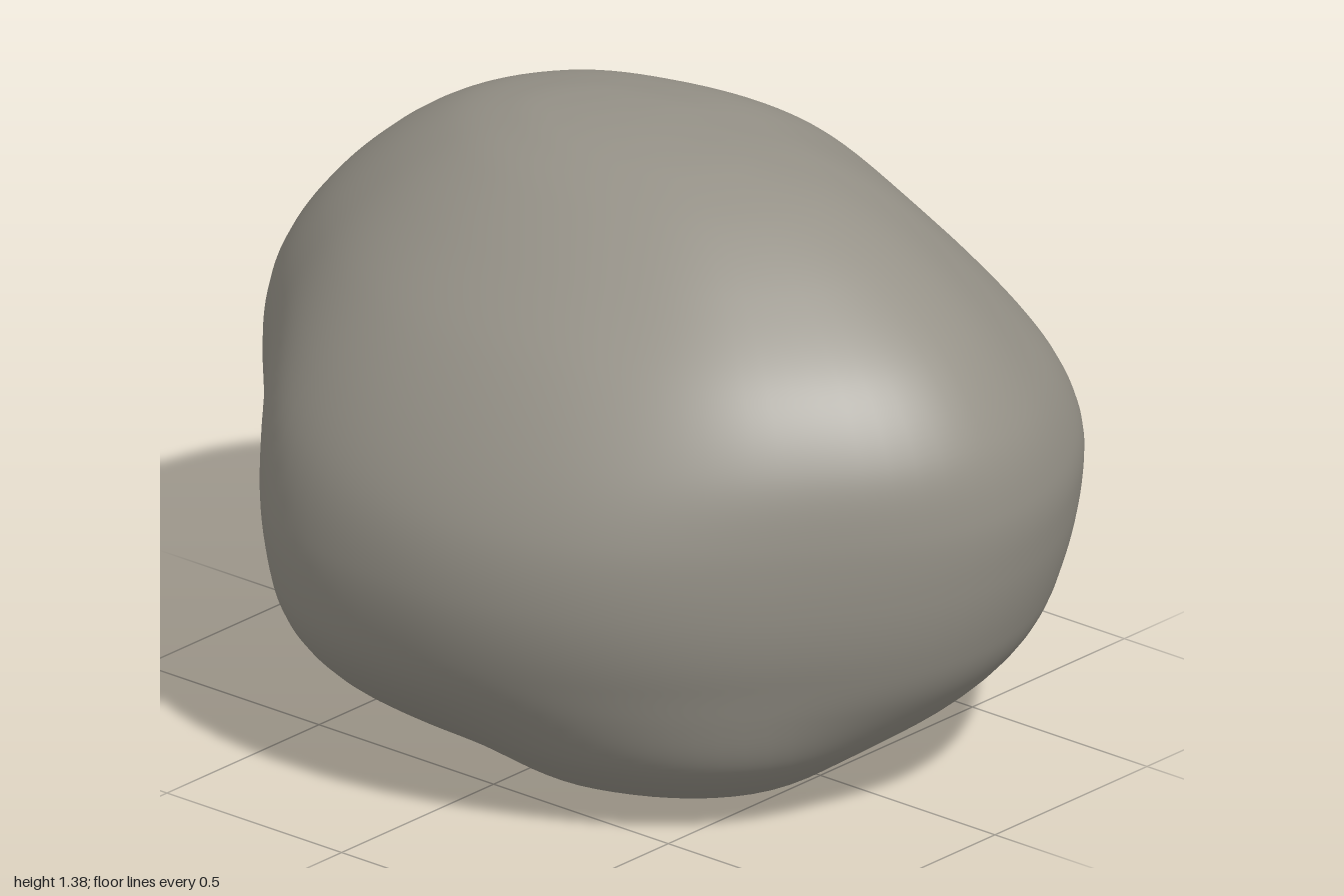
import * as THREE from 'three';

const SEG = 96; // points round each ring
const STEPS = 10; // rings between two levels

// Outline radii every 30 degrees, from +x towards +z
const BASE = [0.51, 0.65, 0.6, 0.47, 0.49, 0.54, 0.55, 0.54, 0.5, 0.46, 0.42, 0.45];
const LOW = [0.9, 0.8, 0.75, 0.76, 0.84, 0.83, 0.89, 0.87, 0.78, 0.75, 0.8, 0.87];
const MIDDLE = [1.0, 0.89, 0.85, 0.83, 0.835, 0.825, 0.975, 0.905, 0.805, 0.815, 0.92, 0.965];
const CROWN = [0.66, 0.59, 0.5, 0.47, 0.5, 0.58, 0.69, 0.66, 0.56, 0.51, 0.48, 0.545];

// Levels: y, xMin, xMax, zMin, zMax
const LEVELS = [
  [0, -0.64, 0.42, -0.57, 0.36],
  [0.025, -0.67, 0.53, -0.59, 0.44],
  [0.08, -0.715, 0.64, -0.635, 0.54],
  [0.18, -0.775, 0.785, -0.7, 0.67],
  [0.3, -0.84, 0.885, -0.755, 0.765],
  [0.43, -0.905, 0.945, -0.8, 0.815],
  [0.58, -0.97, 0.985, -0.83, 0.832],
  [0.74, -1, 1, -0.82, 0.805],
  [0.9, -0.965, 0.965, -0.77, 0.725],
  [1.06, -0.86, 0.85, -0.685, 0.6],
  [1.2, -0.715, 0.66, -0.57, 0.44],
  [1.3, -0.55, 0.46, -0.405, 0.295],
  [1.35, -0.38, 0.27, -0.235, 0.185],
  [1.369, -0.23, 0.1, -0.115, 0.1],
  [1.375, -0.06, -0.06, 0, 0],
];

function catmull(a, b, c, d, t) {
  return 0.5 * (2 * b + (c - a) * t + (2 * a - 5 * b + 4 * c - d) * t * t + (3 * b - a - 3 * c + d) * t * t * t);
}

// Closed smooth outline, scaled so that it fills -1..1 both ways
function unitOutline(radii) {
  const n = radii.length;
  const pts = [];
  for (let i = 0; i < SEG; i++) {
    const u = (i / SEG) * n;
    const k = Math.floor(u);
    const r = catmull(radii[(k + n - 1) % n], radii[k], radii[(k + 1) % n], radii[(k + 2) % n], u - k);
    const a = (i / SEG) * Math.PI * 2;
    pts.push(new THREE.Vector2(r * Math.cos(a), r * Math.sin(a)));
  }
  const box = new THREE.Box2().setFromPoints(pts);
  const mid = box.getCenter(new THREE.Vector2());
  const half = box.getSize(new THREE.Vector2()).multiplyScalar(0.5);
  return pts.map((p) => p.sub(mid).divide(half));
}

function makeGeometry(positions, index) {
  const g = new THREE.BufferGeometry();
  g.setAttribute('position', new THREE.Float32BufferAttribute(positions, 3));
  g.setIndex(index);
  g.computeVertexNormals();
  return g;
}

export function createModel() {
  const group = new THREE.Group();
  group.name = 'boulder';
  const stone = new THREE.MeshStandardMaterial({ color: 0x969288 });
  stone.name = 'warm grey stone';

  const [base, low, middle, crown] = [BASE, LOW, MIDDLE, CROWN].map(unitOutline);

  // Extra levels beyond both ends steer the spline; the upper one mirrors across the pole
  const first = LEVELS[0].map((v, i) => 2 * v - LEVELS[1][i]);
  const [y, x0, x1, z0, z1] = LEVELS[LEVELS.length - 2];
  const levels = [first, ...LEVELS, [y, x1, x0, z1, z0]];

  // Rings from the ground to the crown
  const positions = [];
  const rings = (LEVELS.length - 1) * STEPS;
  for (let j = 0; j <= rings; j++) {
    const k = Math.min(Math.floor(j / STEPS), LEVELS.length - 2);
    const t = j / STEPS - k;
    const [h, xa, xb, za, zb] = levels[k].map((v, i) =>
      catmull(v, levels[k + 1][i], levels[k + 2][i], levels[k + 3][i], t));
    const toLow = THREE.MathUtils.smoothstep(h, -0.12, 0.4);
    const toMiddle = THREE.MathUtils.smoothstep(h, 0.1, 0.75);
    const toCrown = THREE.MathUtils.smoothstep(h, 0.65, 1.25);
    for (let i = 0; i < SEG; i++) {
      const p = base[i].clone().lerp(low[i], toLow).lerp(middle[i], toMiddle).lerp(crown[i], toCrown);
      positions.push((xa + xb) / 2 + (p.x * (xb - xa)) / 2, Math.max(h, 0), (za + zb) / 2 + (p.y * (zb - za)) / 2);
    }
  }
  const index = [];
  for (let j = 0; j < rings; j++) {
    for (let i = 0; i < SEG; i++) {
      const a = j * SEG + i;
      const b = j * SEG + ((i + 1) % SEG);
      index.push(a, a + SEG, b, b, a + SEG, b + SEG);
    }
  }
  const body = new THREE.Mesh(makeGeometry(positions, index), stone);
  body.name = 'boulderBody';
  group.add(body);

  // Flat underside
  const footPositions = [-0.11, 0, -0.11, ...positions.slice(0, SEG * 3)];
  const footIndex = [];
  for (let i = 0; i < SEG; i++) footIndex.push(0, 1 + i, 1 + ((i + 1) % SEG));
  const foot = new THREE.Mesh(makeGeometry(footPositions, footIndex), stone);
  foot.name = 'flatUnderside';
  group.add(foot);

  return group;
}
